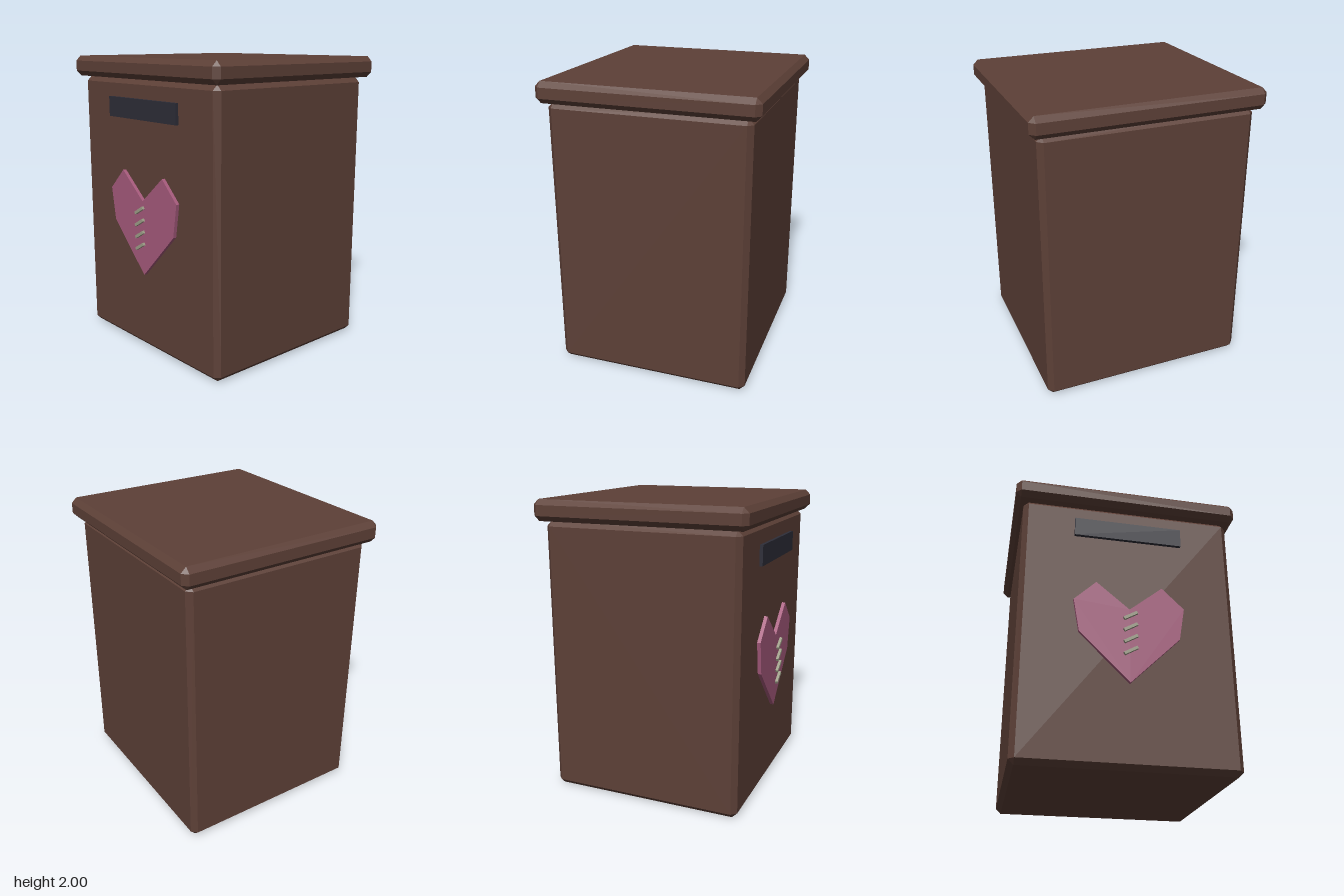
import * as THREE from 'three';
import { ConvexGeometry } from 'three/addons/geometries/ConvexGeometry.js';

const material = (name, color) => {
  const m = new THREE.MeshStandardMaterial({ color });
  m.name = name;
  return m;
};

// Box between two corners with every edge chamfered by c
function chamferedBox(min, max, c) {
  const mid = min.clone().add(max).multiplyScalar(0.5);
  const half = max.clone().sub(min).multiplyScalar(0.5);
  const points = [];
  for (const sx of [-1, 1]) for (const sy of [-1, 1]) for (const sz of [-1, 1]) {
    for (const [ix, iy, iz] of [[0, c, c], [c, 0, c], [c, c, 0]]) {
      points.push(new THREE.Vector3(
        mid.x + sx * (half.x - ix),
        mid.y + sy * (half.y - iy),
        mid.z + sz * (half.z - iz)
      ));
    }
  }
  return new ConvexGeometry(points);
}

export function createModel() {
  const group = new THREE.Group();
  group.name = 'postBox';

  const wood = material('brown wood', 0x5d4037);
  const dark = material('dark slot', 0x2d2d38);
  const pink = material('dusty pink', 0xa65a7c);
  const thread = material('thread grey', 0x9e9e88);

  const add = (name, geometry, mat) => {
    const mesh = new THREE.Mesh(geometry, mat);
    mesh.name = name;
    group.add(mesh);
    return mesh;
  };

  // Chamfered case and overhanging lid
  const v = (x, y, z) => new THREE.Vector3(x, y, z);
  add('body', chamferedBox(v(-0.72, 0, -0.67), v(0.72, 1.86, 0.665), 0.035), wood);
  add('lid', chamferedBox(v(-0.777, 1.86, -0.727), v(0.777, 2, 0.718), 0.035), wood);

  // Letter slot plate
  add('slot', new THREE.BoxGeometry(0.736, 0.135, 0.022), dark).position.set(0, 1.667, 0.681);

  // Angular heart, mirrored about its centre line
  const side = [[0.33, 0.875], [0.367, 1.1], [0.22, 1.243]];
  const outline = [
    [0, 0.545], ...side, [0, 1.06],
    ...side.map(([x, y]) => [-x, y]).reverse(),
  ].map(([x, y]) => new THREE.Vector2(x, y));
  const heart = new THREE.ExtrudeGeometry(new THREE.Shape(outline), { depth: 0.024, bevelEnabled: false });
  add('heart', heart, pink).position.z = 0.67;

  // Slanted stitches down the middle of the heart
  for (let i = 0; i < 4; i++) {
    const stitch = add('stitch' + (i + 1), new THREE.BoxGeometry(0.1, 0.02, 0.018), thread);
    stitch.position.set(0, 1.002 - i * 0.083, 0.721);
    stitch.rotation.z = Math.PI / 6;
  }
  return group;
}
